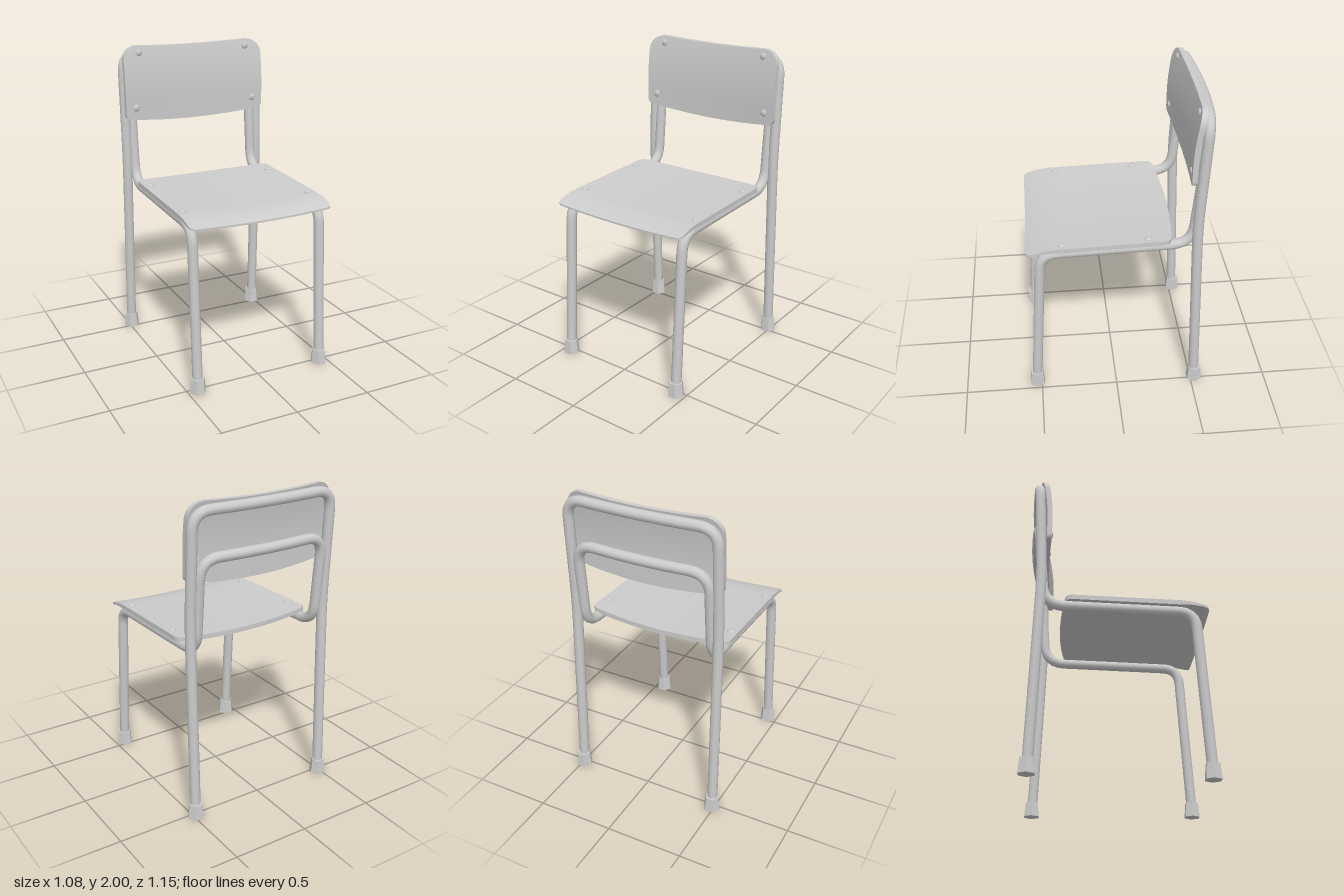
import * as THREE from 'three';
import { toCreasedNormals } from 'three/addons/utils/BufferGeometryUtils.js';

const TUBE_R = 0.033;

export function createModel() {
  const group = new THREE.Group();
  const material = new THREE.MeshStandardMaterial({ color: 0xcccccc });

  function add(name, geometry, x = 0, y = 0, z = 0) {
    const mesh = new THREE.Mesh(geometry, material);
    mesh.name = name;
    mesh.position.set(x, y, z);
    group.add(mesh);
    return mesh;
  }

  // Polyline with rounded corners; each point is [x, y, z, bend length]
  function roundedPath(points) {
    const path = new THREE.CurvePath();
    const p = points.map(([x, y, z]) => new THREE.Vector3(x, y, z));
    let last = p[0];
    for (let i = 1; i < p.length - 1; i++) {
      const toward = (q) => p[i].clone().add(q.clone().sub(p[i]).setLength(points[i][3]));
      const start = toward(p[i - 1]);
      const end = toward(p[i + 1]);
      path.add(new THREE.LineCurve3(last, start));
      path.add(new THREE.QuadraticBezierCurve3(start, p[i], end));
      last = end;
    }
    path.add(new THREE.LineCurve3(last, p[p.length - 1]));
    return path;
  }

  // One bent tube, mirrored across x = 0 around the middle of its crossbar
  function frame(name, side, middle) {
    const mirrored = side.map(([x, y, z, r]) => [-x, y, z, r]).reverse();
    const path = roundedPath([...side, middle, ...mirrored]);
    add(name, new THREE.TubeGeometry(path, 180, TUBE_R, 10));
  }

  // Rear legs running up into the top rail
  frame('rearFrame', [
    [0.487, 0.04, -0.522],
    [0.487, 1.25, -0.484, 0.15],
    [0.487, 1.95, -0.517, 0.12],
  ], [0, 1.95, -0.552, 0.3]);

  // Front legs, seat rails and lower back rail in one tube
  frame('frontFrame', [
    [0.437, 0.04, 0.53],
    [0.437, 1.062, 0.468, 0.11],
    [0.437, 1.087, -0.465, 0.13],
    [0.437, 1.67, -0.515, 0.13],
  ], [0, 1.67, -0.552, 0.28]);

  // Flared hexagonal foot caps
  const footGeo = toCreasedNormals(
    new THREE.CylinderGeometry(0.045, 0.054, 0.095, 6, 1, false, Math.PI / 6 + Math.PI / 3), 0.6);
  for (const s of [-1, 1]) {
    add('frontFoot', footGeo, s * 0.437, 0.0475, 0.53);
    add('rearFoot', footGeo, s * 0.487, 0.0475, -0.525);
  }

  // Rounded slab: u = half-width coordinate, v in 0..1 along the length,
  // t = 0 (outer face) to 1 (inner face); place() bends it into position
  function slab(halfWidth, length, startR, endR, place) {
    const geo = new THREE.BoxGeometry(2, 2, 1, 20, 32, 1);
    const pos = geo.attributes.position;
    for (let i = 0; i < pos.count; i++) {
      const v = (Math.sin(pos.getY(i) * Math.PI / 2) + 1) / 2;
      const r = v < 0.5 ? startR : endR;
      const d = Math.max(0, r - Math.min(v, 1 - v) * length);
      const half = halfWidth - r + Math.sqrt(Math.max(0, r * r - d * d));
      pos.setXYZ(i, ...place(pos.getX(i) * half, v, 0.5 - pos.getZ(i)));
    }
    return toCreasedNormals(geo, 0.6);
  }

  // Backrest: bowed sideways, leaning back toward the top
  const backFront = (x, y) =>
    -0.455 - 0.04 * (Math.max(0, y - 1.65) / 0.35) ** 2 + 0.025 * (x / 0.5) ** 2;
  add('backrest', slab(0.5, 0.48, 0.03, 0.1, (x, v, t) => {
    const bottom = 1.495 + 0.035 * (x / 0.5) ** 2;
    const top = 1.988 + 0.012 * Math.min(1, (x / 0.4) ** 2);
    const y = bottom + (top - bottom) * v;
    return [x, y, backFront(x, y) - 0.032 * t];
  }));

  // Seat: slightly dished, bowed rear edge, front edge curled down and thinned
  const seatTop = (x, z) =>
    1.118 - 0.026 * (z - 0.4) + 0.016 * ((x / 0.48) ** 2 - 1)
    - 0.034 * (Math.max(0, z - 0.36) / 0.19) ** 2 + 0.004;
  add('seat', slab(0.482, 0.9, 0.035, 0.04, (x, v, t) => {
    const front = 0.552;
    const rear = -0.368 + 0.038 * (x / 0.48) ** 2;
    const z = front + (rear - front) * v;
    const thickness = 0.03 - 0.018 * Math.max(0, (z - 0.36) / 0.19);
    return [x, seatTop(x, z) - thickness * t, z];
  }));

  // Domed rivets on seat and backrest
  const rivetGeo = new THREE.SphereGeometry(0.023, 14, 8);
  for (const s of [-1, 1]) {
    for (const z of [-0.195, 0.335]) {
      const x = s * 0.437;
      add('seatRivet', rivetGeo, x, seatTop(x, z), z).scale.y = 0.5;
    }
    for (const [x, y] of [[0.387, 1.955], [0.428, 1.6]]) {
      add('backrestRivet', rivetGeo, s * x, y, backFront(x, y)).scale.z = 0.5;
    }
  }

  return group;
}
